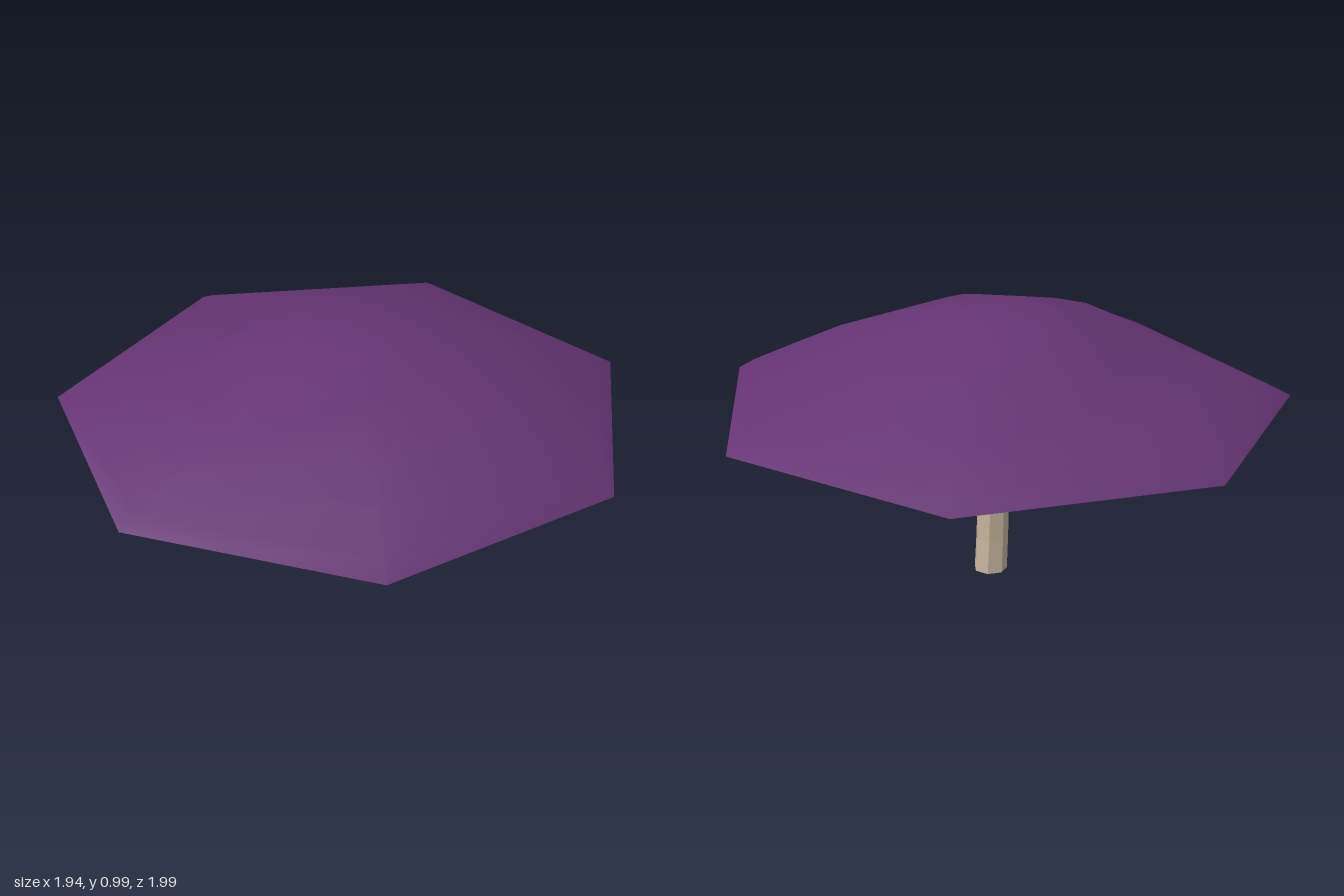
import * as THREE from 'three';

const SIDES = 7;

// Joins seven-sided rings (bottom to top) into a skin; each ring is [radius, y, centreX, centreZ].
function loft(rings, { top = false, bottom = false, adjust = (ring, side, y) => y } = {}) {
  const positions = [], index = [];
  rings.forEach(([r, y, cx, cz], k) => {
    for (let i = 0; i < SIDES; i++) {
      const a = (i / SIDES) * Math.PI * 2;
      positions.push(cx + r * Math.cos(a), adjust(k, i, y), cz + r * Math.sin(a));
    }
  });
  for (let k = 0; k < rings.length - 1; k++) {
    for (let i = 0; i < SIDES; i++) {
      const j = (i + 1) % SIDES;
      const a = k * SIDES + i, b = k * SIDES + j, c = a + SIDES, d = b + SIDES;
      index.push(a, c, b, b, c, d);
    }
  }
  // Closing fans; top may give the height of its centre point
  const fan = (k, y, up) => {
    const [, , cx, cz] = rings[k], centre = positions.length / 3;
    positions.push(cx, y, cz);
    for (let i = 0; i < SIDES; i++) {
      const a = k * SIDES + i, b = k * SIDES + (i + 1) % SIDES;
      index.push(centre, up ? b : a, up ? a : b);
    }
  };
  if (top !== false) fan(rings.length - 1, top, true);
  if (bottom !== false) fan(0, bottom, false);
  const g = new THREE.BufferGeometry();
  g.setAttribute('position', new THREE.Float32BufferAttribute(positions, 3));
  g.setIndex(index);
  return g;
}

function addPart(group, name, geometry, material, flat) {
  const g = flat ? geometry.toNonIndexed() : geometry;
  g.computeVertexNormals();
  const mesh = new THREE.Mesh(g, material);
  mesh.name = name;
  group.add(mesh);
}

function material(name, color) {
  const m = new THREE.MeshStandardMaterial({ color });
  m.name = name;
  return m;
}

export function createModel() {
  const group = new THREE.Group();
  group.name = 'mushroom';
  const purple = material('cap purple', 0x653473);
  const darkPurple = material('underside dark purple', 0x3d0a36);
  const beige = material('stem beige', 0xc0b098);

  // Cap: smooth dome with a dent on its -x side
  const rim = [1.023, 0.64, -0.053, 0];
  const capRings = [
    rim,
    [0.955, 0.679, -0.048, 0],
    [0.78, 0.76, -0.037, 0],
    [0.59, 0.85, -0.035, 0],
    [0.385, 0.92, -0.035, 0],
    [0.19, 0.975, -0.035, 0],
  ];
  const dent = (ring, side, y) => (ring === 3 && (side === 3 || side === 4) ? 0.8 : y);
  addPart(group, 'cap', loft(capRings, { top: 0.99, adjust: dent }), purple, false);

  // Flat underside of the cap
  addPart(group, 'capUnderside', loft([rim], { bottom: 0.64 }), darkPurple, true);

  // Stem: slightly bent, flaring into the cap
  const stemRings = [
    [0.06, 0, -0.0155, 0.005],
    [0.059, 0.12, -0.0155, 0.019],
    [0.058, 0.3, -0.0155, 0.03],
    [0.058, 0.47, -0.0155, 0.036],
    [0.063, 0.505, -0.0165, 0.035],
    [0.147, 0.64, -0.037, 0.015],
  ];
  addPart(group, 'stem', loft(stemRings, { bottom: 0 }), beige, true);

  return group;
}
